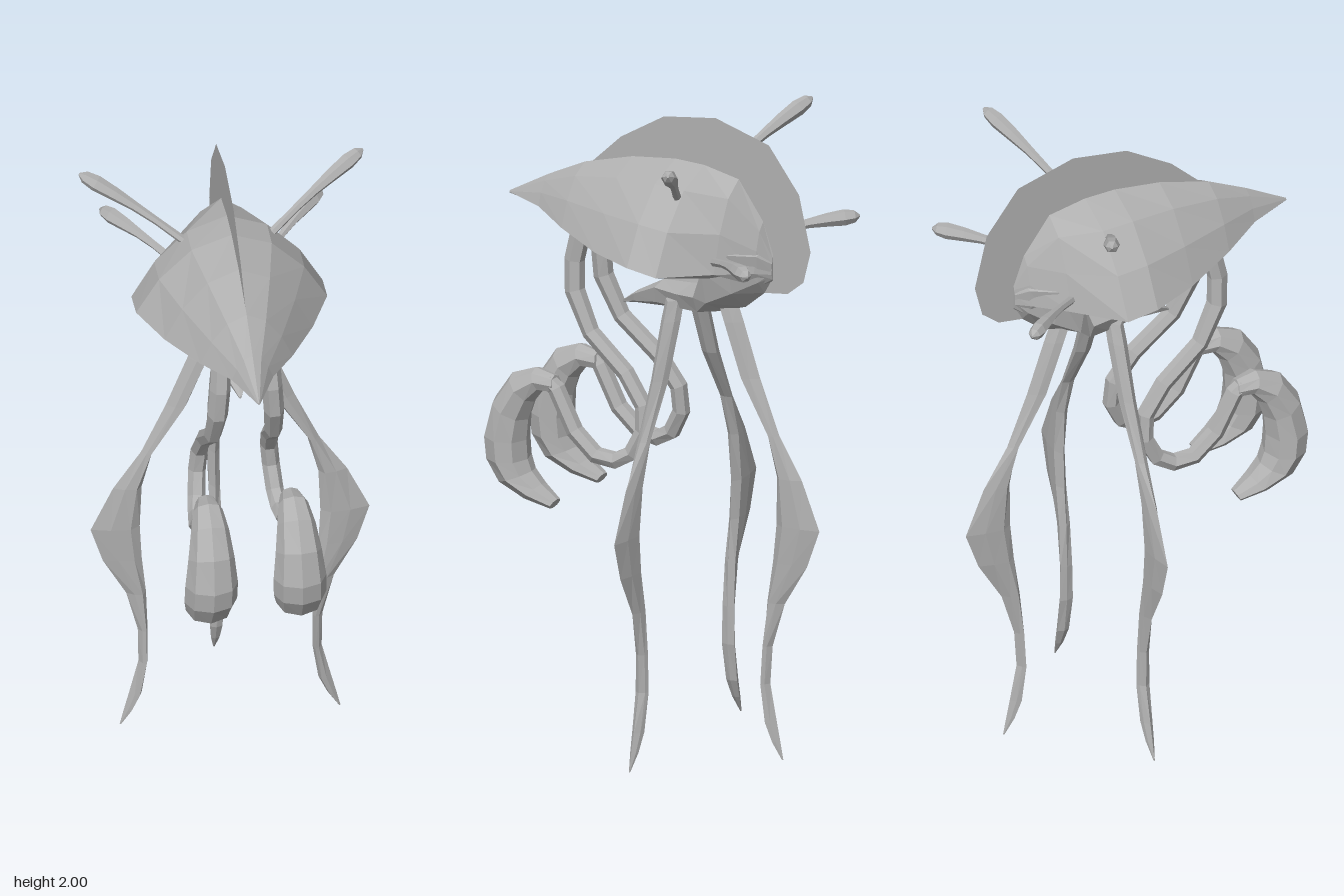
import * as THREE from 'three';

const V = (x, y, z) => new THREE.Vector3(x, y, z);

// Skin closed rings of points, cap both ends and make the faces point outward
function loft(rings) {
  const n = rings[0].length, pts = rings.flat(), idx = [];
  for (let i = 0; i < rings.length - 1; i++) {
    for (let j = 0; j < n; j++) {
      const a = i * n + j, b = i * n + (j + 1) % n;
      idx.push(a, b, b + n, a, b + n, a + n);
    }
  }
  [[rings[0], 0, true], [rings.at(-1), (rings.length - 1) * n, false]].forEach(([ring, base, first]) => {
    const c = pts.length;
    pts.push(ring.reduce((s, p) => s.add(p), V(0, 0, 0)).divideScalar(n));
    for (let j = 0; j < n; j++) {
      const a = base + j, b = base + (j + 1) % n;
      if (first) idx.push(c, b, a); else idx.push(c, a, b);
    }
  });
  let volume = 0;
  for (let i = 0; i < idx.length; i += 3) {
    volume += pts[idx[i]].dot(pts[idx[i + 1]].clone().cross(pts[idx[i + 2]]));
  }
  if (volume < 0) idx.reverse();
  const g = new THREE.BufferGeometry().setFromPoints(pts);
  g.setIndex(idx);
  g.computeVertexNormals();
  return g;
}

// Elliptical ring around c spanned by half-axes u and v
function ring(c, u, v, n) {
  return Array.from({ length: n }, (_, i) => {
    const a = (i / n) * Math.PI * 2;
    return c.clone().addScaledVector(u, Math.cos(a)).addScaledVector(v, Math.sin(a));
  });
}

// Tube through points, lying roughly in the plane across side
function tube(path, radii, side, n) {
  return loft(path.map((p, i) => {
    const t = path[Math.min(i + 1, path.length - 1)].clone().sub(path[Math.max(i - 1, 0)]).normalize();
    const w = t.clone().cross(side).normalize();
    const u = w.clone().cross(t).normalize();
    return ring(p, u.multiplyScalar(radii[i]), w.multiplyScalar(radii[i]), n);
  }));
}

export function createModel() {
  const model = new THREE.Group();
  const grey = new THREE.MeshStandardMaterial({ color: 0xb0b0b0, flatShading: true, side: THREE.DoubleSide });
  grey.name = 'grey skin';
  const add = (name, geometry) => {
    const m = new THREE.Mesh(geometry, grey);
    m.name = name;
    model.add(m);
  };

  // Beaked shell: z, top y, half width, rim y, underside y
  const shell = [
    [0.535, 1.65, 0.004, 1.645, 1.642], [0.40, 1.725, 0.063, 1.64, 1.625],
    [0.275, 1.785, 0.14, 1.615, 1.585], [0.11, 1.83, 0.225, 1.59, 1.555],
    [-0.04, 1.848, 0.29, 1.585, 1.555], [-0.14, 1.845, 0.29, 1.57, 1.57],
    [-0.26, 1.82, 0.15, 1.56, 1.52], [-0.345, 1.70, 0.055, 1.55, 1.49], [-0.38, 1.60, 0.01, 1.54, 1.52],
  ];
  add('shell', loft(shell.map(([z, top, w, rim, under]) => {
    const h = top - rim;
    const half = [[0.42, rim + h * 0.83], [0.76, rim + h * 0.45], [1, rim], [0.5, under + (rim - under) * 0.2]];
    return [
      V(0, top, z), ...half.map(([k, y]) => V(k * w, y, z)),
      V(0, under, z), ...half.reverse().map(([k, y]) => V(-k * w, y, z)),
    ];
  })));

  // Lower jaw and throat: z, half width, top y, bottom y
  const jaw = [
    [0.14, 0.004, 1.372, 1.364], [0.09, 0.03, 1.41, 1.37], [0, 0.06, 1.46, 1.375],
    [-0.10, 0.095, 1.465, 1.38], [-0.17, 0.12, 1.475, 1.385], [-0.21, 0.14, 1.58, 1.395],
    [-0.285, 0.11, 1.64, 1.42], [-0.35, 0.05, 1.62, 1.475], [-0.38, 0.01, 1.58, 1.53],
  ];
  add('lowerJaw', loft(jaw.map(([z, w, t, b]) => [
    V(0, t, z), V(w, t - (t - b) * 0.12, z), V(w * 0.8, b + (t - b) * 0.3, z),
    V(0, b, z), V(-w * 0.8, b + (t - b) * 0.3, z), V(-w, t - (t - b) * 0.12, z),
  ])));

  // Thin crest along the middle of the head
  const crest = new THREE.Shape([
    [0.34, 1.75], [0.25, 1.79], [0.15, 1.885], [0, 1.975], [-0.18, 2], [-0.365, 1.945], [-0.47, 1.805],
    [-0.51, 1.63], [-0.485, 1.53], [-0.43, 1.485], [-0.35, 1.475], [-0.25, 1.6], [-0.15, 1.75], [0.15, 1.75],
  ].map(([z, y]) => new THREE.Vector2(z, y)));
  add('crest', new THREE.ShapeGeometry(crest).rotateY(-Math.PI / 2));

  // Bladed legs: y, outer reach, inner reach, half thickness
  const legRows = [
    [1.43, 0.105, 0.04, 0.028], [1.37, 0.13, 0.065, 0.03], [1.2, 0.195, 0.13, 0.026],
    [1.03, 0.27, 0.235, 0.02], [0.9, 0.355, 0.268, 0.019], [0.75, 0.423, 0.274, 0.018],
    [0.63, 0.386, 0.268, 0.017], [0.5, 0.315, 0.255, 0.018], [0.36, 0.28, 0.25, 0.02],
    [0.24, 0.278, 0.25, 0.022], [0.12, 0.307, 0.268, 0.019], [0.06, 0.322, 0.295, 0.013], [0.005, 0.335, 0.33, 0.002],
  ];
  const leg = (place) => loft(legRows.map(([y, o, i, t]) => {
    const at = (k, s) => place(i + (o - i) * k, y, s * t);
    return [at(1, 0), at(0.6, 0.75), at(0.2, 1), at(0, 0), at(0.2, -1), at(0.6, -0.75)];
  }));
  add('rearLeg', leg((r, y, t) => V(t, y, -(r + 0.08 + 0.05 * y))));

  // Arm path: z, y from shoulder to pod
  const armPath = [
    [0.24, 1.62], [0.265, 1.5], [0.26, 1.405], [0.2, 1.283], [0.074, 1.177], [0.01, 1.087],
    [0.005, 1.008], [0.042, 0.935], [0.095, 0.905], [0.16, 0.913], [0.233, 0.977], [0.297, 1.1], [0.325, 1.118],
  ];
  // Pod sections: outer z, y, inner z, y, half width
  const podRows = [
    [0.305, 1.14, 0.295, 1.085, 0.03], [0.37, 1.155, 0.345, 1.085, 0.045], [0.45, 1.125, 0.375, 1.045, 0.058],
    [0.508, 1.04, 0.395, 0.985, 0.07], [0.534, 0.93, 0.40, 0.92, 0.08], [0.525, 0.86, 0.395, 0.86, 0.08],
    [0.48, 0.786, 0.38, 0.825, 0.07], [0.39, 0.743, 0.345, 0.79, 0.055], [0.305, 0.722, 0.29, 0.752, 0.03],
  ];

  // Club-tipped feelers, straight with a slight arch
  const feeler = (a, b, arch) => {
    const steps = [0, 0.3, 0.5, 0.68, 0.85, 0.95, 1];
    const path = steps.map((t) => a.clone().lerp(b, t).add(V(0, arch * Math.sin(Math.PI * t), 0)));
    const side = b.clone().sub(a).cross(V(0, 1, 0)).normalize();
    return tube(path, [0.013, 0.012, 0.015, 0.021, 0.025, 0.019, 0.004], side, 6);
  };

  // Paired parts
  for (const [s, side] of [[1, 'left'], [-1, 'right']]) {
    add(side + 'Leg', leg((r, y, t) => V(s * r, y, -0.074 + t)));
    const arm = armPath.map(([z, y], i) => V(s * (0.072 + 0.06 * Math.min(1, i / 9)), y, z));
    add(side + 'Arm', tube(arm, arm.map((_, i) => (i < 3 ? 0.031 : 0.027)), V(1, 0, 0), 6));
    add(side + 'Pod', loft(podRows.map(([oz, oy, iz, iy, w], i) => ring(
      V(s * (0.128 + 0.0015 * i), (oy + iy) / 2, (oz + iz) / 2),
      V(0, (oy - iy) / 2, (oz - iz) / 2), V(w, 0, 0), 8))));
    add(side + 'UpperFeeler', feeler(V(s * 0.115, 1.765, -0.115), V(s * 0.43, 1.955, -0.265), 0.012));
    add(side + 'LowerFeeler', feeler(V(s * 0.135, 1.595, -0.25), V(s * 0.335, 1.645, -0.485), 0.01));
  }
  return model;
}
